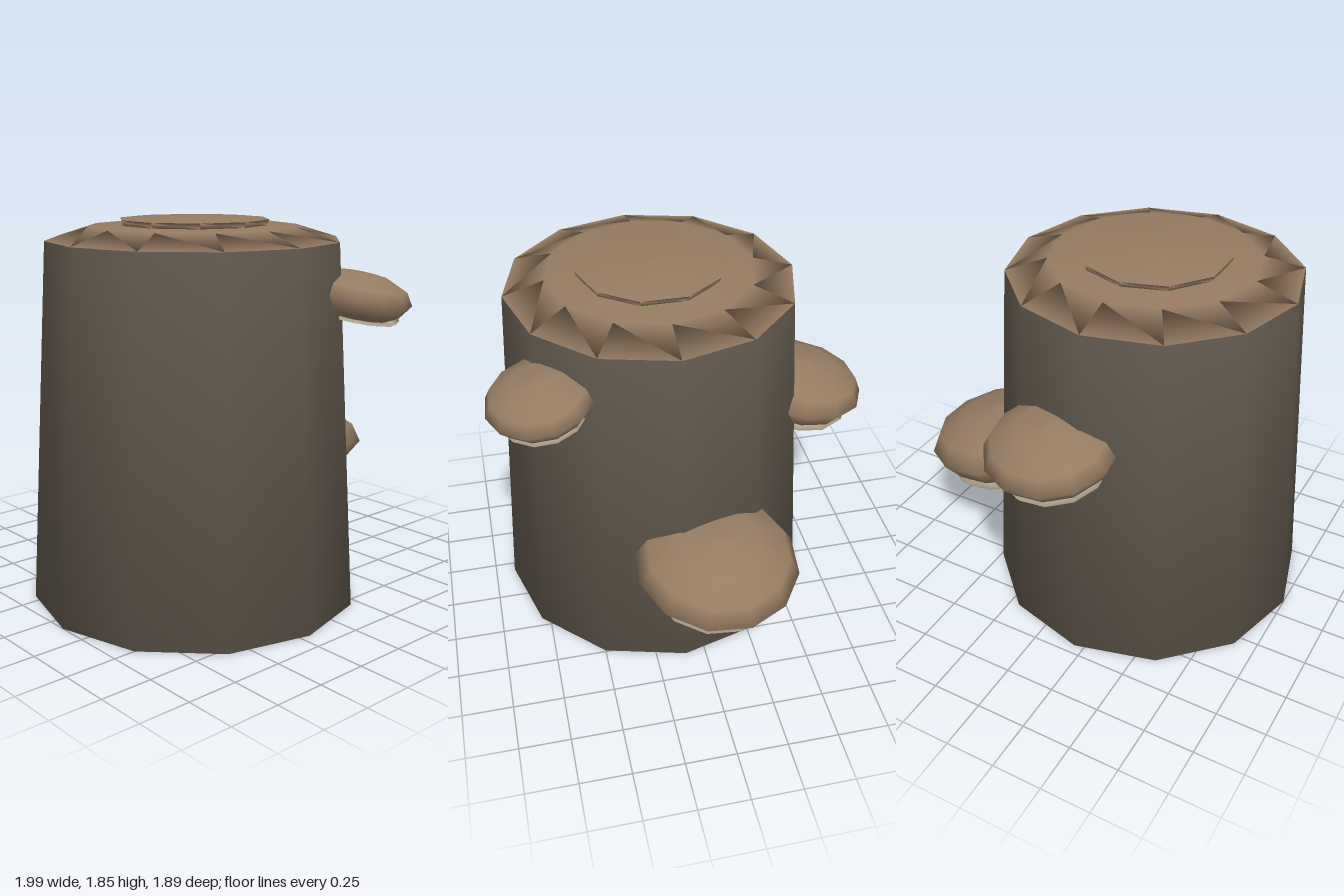
import * as THREE from 'three';

const material = (name, color) => {
  const m = new THREE.MeshStandardMaterial({ color });
  m.name = name;
  return m;
};

// Smooth solid of revolution from [radius, height] pairs, bottom to top
const lathe = (points, sides) =>
  new THREE.LatheGeometry(points.map(([r, y]) => new THREE.Vector2(r, y)), sides);

export function createModel() {
  const bark = material('bark', 0x665d51);
  const wood = material('wood', 0x967c62);
  const gill = material('gill', 0xb0a48c);

  const model = new THREE.Group();
  model.name = 'stumpWithMushrooms';
  const centre = new THREE.Vector3(-0.2, 0, 0.1);

  const add = (parent, name, geometry, mat) => {
    const mesh = new THREE.Mesh(geometry, mat);
    mesh.name = name;
    parent.add(mesh);
    return mesh;
  };

  // Stump: tapered trunk, bevelled cut top and raised heartwood disc
  const stump = new THREE.Group();
  stump.name = 'stump';
  stump.position.copy(centre);
  model.add(stump);
  add(stump, 'trunk', lathe([[0, 0], [0.8, 0], [0.7, 1.74]], 12), bark);
  add(stump, 'cutTop', lathe([[0, 1.738], [0.7, 1.74], [0.5, 1.802], [0, 1.815]], 12), wood);
  add(stump, 'heartwood', lathe([[0, 1.8], [0.35, 1.808], [0.36, 1.834], [0, 1.848]], 10), wood);

  // Bracket mushroom of unit radius: squashed cap with a pale ring underneath
  const capProfile = [[0, -0.48], [0.5, -0.42], [0.82, -0.26], [1, 0], [0.866, 0.22], [0.5, 0.38], [0, 0.44]];
  const capGeometry = lathe(capProfile, 12);
  const ringGeometry = lathe([[0.62, -0.36], [0.8, -0.25], [0.83, -0.31], [0.79, -0.39], [0.64, -0.42], [0.62, -0.36]], 12);

  const mushrooms = [
    ['largeMushroom', 0.6, 0.63, -0.05, 0.4],
    ['frontMushroom', 0.29, 1.49, 0.7, 0.255],
    ['backMushroom', -0.065, 1.14, -0.635, 0.32],
  ];
  for (const [name, x, y, z, radius] of mushrooms) {
    const mushroom = new THREE.Group();
    mushroom.name = name;
    mushroom.position.set(x, y, z);
    mushroom.scale.setScalar(radius);
    // Turn outward from the trunk, then droop
    mushroom.rotation.order = 'YXZ';
    mushroom.rotation.y = Math.atan2(x - centre.x, z - centre.z);
    mushroom.rotation.x = 0.19;
    add(mushroom, 'cap', capGeometry, wood);
    add(mushroom, 'gillRing', ringGeometry, gill);
    model.add(mushroom);
  }

  return model;
}
